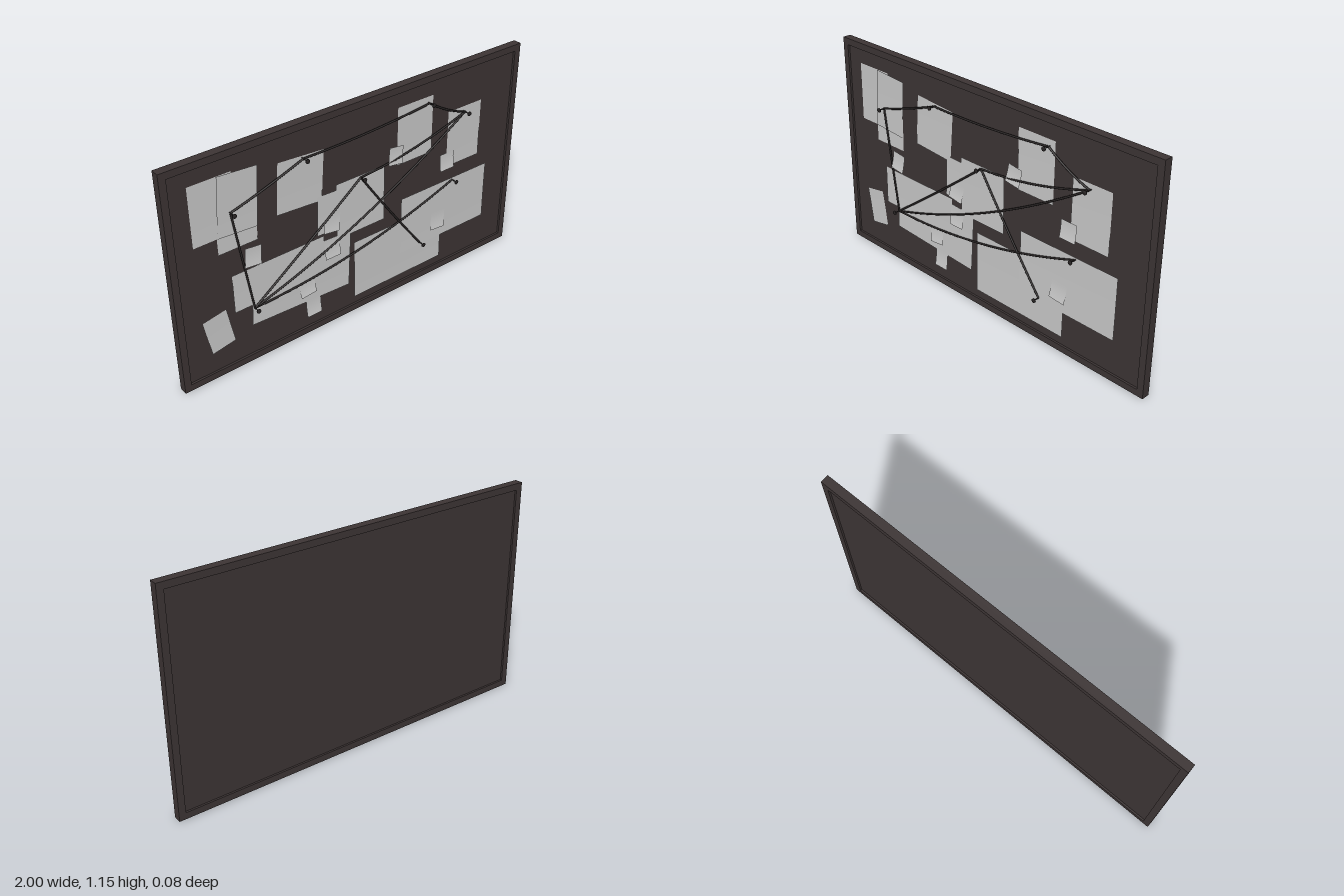
import * as THREE from 'three';

const W = 2, H = 1.15, BAR = 0.034;
const mat = (color, side = THREE.FrontSide) => new THREE.MeshStandardMaterial({ color, side });

export function createModel() {
  const model = new THREE.Group();
  const wood = mat(0x3d3535), dark = mat(0x2a2626), paper = mat(0xcccccc, THREE.DoubleSide);

  const add = (name, geometry, material, parent = model) => {
    const mesh = new THREE.Mesh(geometry, material);
    mesh.name = name;
    parent.add(mesh);
    return mesh;
  };
  const group = (name) => {
    const g = new THREE.Group();
    g.name = name;
    model.add(g);
    return g;
  };
  const rectangle = (path, x, bottom, top) => {
    path.moveTo(-x, bottom);
    path.lineTo(x, bottom);
    path.lineTo(x, top);
    path.lineTo(-x, top);
    path.closePath();
    return path;
  };

  // Frame, open in the middle, with the panel recessed on both faces
  const outline = rectangle(new THREE.Shape(), W / 2, 0, H);
  outline.holes.push(rectangle(new THREE.Path(), W / 2 - BAR, BAR, H - BAR));
  add('frame', new THREE.ExtrudeGeometry(outline, { depth: 0.043, bevelEnabled: false }), wood).position.z = -0.04;
  add('panel', new THREE.BoxGeometry(W - 2 * BAR, H - 2 * BAR, 0.022), wood).position.set(0, H / 2, -0.019);

  // A sheet fixed along its top edge, its lower edge curling off the board
  const sheet = (name, parent, [x, y, w, h, degrees], z, curl) => {
    const geo = new THREE.PlaneGeometry(w, h, 1, 6);
    const p = geo.attributes.position;
    for (let i = 0; i < p.count; i++) {
      const t = 0.5 - p.getY(i) / h;
      p.setZ(i, curl * t * t);
    }
    geo.computeVertexNormals();
    const mesh = add(name, geo, paper, parent);
    mesh.position.set(x, y, z);
    mesh.rotation.z = THREE.MathUtils.degToRad(degrees);
  };

  // Large papers: x, y, width, height, tilt, listed from back to front
  const papers = group('papers');
  [
    [-0.775, 0.89, 0.21, 0.30, 0],
    [-0.665, 0.76, 0.20, 0.21, 0],
    [-0.33, 0.855, 0.245, 0.26, -4],
    [0.333, 0.888, 0.215, 0.305, 0],
    [0.652, 0.763, 0.215, 0.305, 0],
    [-0.797, 0.25, 0.125, 0.195, 10],
    [-0.46, 0.418, 0.50, 0.205, 0],
    [-0.145, 0.635, 0.20, 0.21, -2],
    [0.245, 0.243, 0.56, 0.325, 0],
    [-0.655, 0.885, 0.20, 0.30, -4],
    [-0.34, 0.345, 0.555, 0.31, -2.8],
    [0.003, 0.62, 0.285, 0.30, 0],
    [0.537, 0.375, 0.565, 0.32, 0],
  ].forEach((s, i) => sheet('paper', papers, s, -0.006 + i * 0.0006, 0.002));

  // Small sticky notes
  const notes = group('stickyNotes');
  [
    [0.21, 0.80, 0.085, 0.09, -8],
    [0.54, 0.65, 0.09, 0.09, 0],
    [-0.60, 0.585, 0.085, 0.095, -6],
    [-0.168, 0.577, 0.088, 0.09, -8],
    [-0.168, 0.433, 0.088, 0.09, 0],
    [-0.318, 0.278, 0.088, 0.09, 6],
    [-0.285, 0.15, 0.085, 0.095, 0],
    [0.497, 0.32, 0.09, 0.095, -5],
  ].forEach((s) => sheet('stickyNote', notes, s, 0.003, 0.01));

  // Pins: slim shaft and flat head, turned about the z axis
  const pinPoints = [
    [-0.695, 0.85], [-0.315, 0.975], [0.41, 1.01], [0.645, 0.89],
    [0, 0.76], [-0.61, 0.30], [0.585, 0.525], [0.38, 0.23],
  ];
  const profile = [[0, -0.01], [0.003, -0.01], [0.003, 0.034], [0.011, 0.035], [0.011, 0.04], [0, 0.04]]
    .map(([r, y]) => new THREE.Vector2(r, y));
  const pinGeo = new THREE.LatheGeometry(profile, 12).rotateX(Math.PI / 2);
  const pins = group('pins');
  for (const [x, y] of pinPoints) add('pin', pinGeo, dark, pins).position.set(x, y, 0);

  // Strings hung between pairs of pins: start, end, sag
  const strings = group('strings');
  [
    [0, 1, 0.005], [1, 2, 0.012], [2, 3, 0.012], [3, 4, 0.025], [4, 5, 0.005],
    [5, 0, 0], [5, 3, 0.06], [5, 6, 0.055], [4, 7, 0.008],
  ].forEach(([a, b, sag]) => {
    const start = new THREE.Vector3(...pinPoints[a], 0.006);
    const end = new THREE.Vector3(...pinPoints[b], 0.006);
    const middle = start.clone().lerp(end, 0.5);
    middle.y -= 2 * sag;
    const curve = new THREE.QuadraticBezierCurve3(start, middle, end);
    add('string', new THREE.TubeGeometry(curve, 24, 0.005, 8), dark, strings);
  });

  return model;
}
